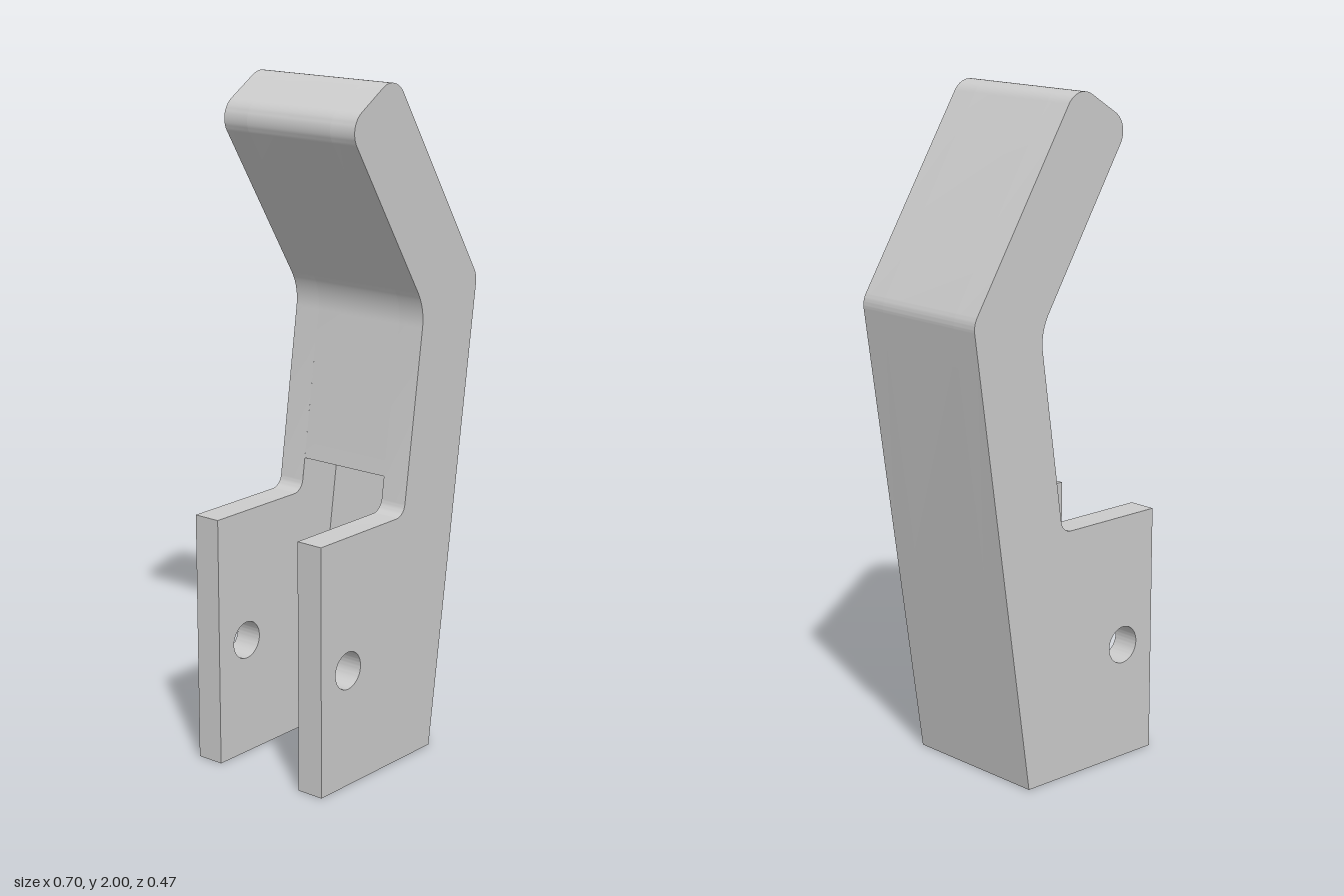
import * as THREE from 'three';
import { mergeGeometries, toCreasedNormals } from 'three/addons/utils/BufferGeometryUtils.js';

const HALF = 0.235;   // half of the full width
const INNER = 0.15;   // half of the slot between the cheeks
const HOLE = { x: -0.233, y: 0.352, r: 0.056 };

// Closed outline from [x, y, radius] corners, with true arcs at the rounded ones
function outline(corners) {
  const points = [];
  corners.forEach(([x, y, r], i) => {
    const p = new THREE.Vector2(x, y);
    if (!r) return points.push(p);
    const n = corners.length;
    const a = new THREE.Vector2(...corners[(i + n - 1) % n].slice(0, 2)).sub(p).normalize();
    const b = new THREE.Vector2(...corners[(i + 1) % n].slice(0, 2)).sub(p).normalize();
    const half = Math.acos(a.dot(b)) / 2;
    const t = r / Math.tan(half);
    const c = a.clone().add(b).normalize().multiplyScalar(r / Math.sin(half)).add(p);
    const start = a.multiplyScalar(t).add(p).sub(c).angle();
    const end = b.multiplyScalar(t).add(p).sub(c).angle();
    const sweep = Math.atan2(Math.sin(end - start), Math.cos(end - start));
    for (let k = 0; k <= 12; k++) {
      const ang = start + sweep * k / 12;
      points.push(new THREE.Vector2(c.x + r * Math.cos(ang), c.y + r * Math.sin(ang)));
    }
  });
  return new THREE.Shape(points);
}

function withHole(shape) {
  shape.holes.push(new THREE.Path().absarc(HOLE.x, HOLE.y, HOLE.r, 0, Math.PI * 2, true));
  return shape;
}

// Only the side walls of an extruded shape
function walls(shape, z0, z1) {
  const full = new THREE.ExtrudeGeometry(shape, { depth: z1 - z0, bevelEnabled: false, curveSegments: 32 });
  const { start, count } = full.groups[1];
  const geo = new THREE.BufferGeometry();
  geo.setAttribute('position', new THREE.BufferAttribute(
    full.attributes.position.array.slice(start * 3, (start + count) * 3), 3));
  geo.translate(0, 0, z0);
  geo.computeVertexNormals();
  return toCreasedNormals(geo, 0.5);
}

// Flat face at depth z, turned to +z or -z
function face(shape, z, facing) {
  const geo = new THREE.ShapeGeometry(shape, 32);
  if (facing < 0) geo.index.array.reverse();
  geo.translate(0, 0, z);
  geo.deleteAttribute('uv');
  geo.computeVertexNormals();
  return geo.toNonIndexed();
}

export function createModel() {
  const group = new THREE.Group();
  const material = new THREE.MeshStandardMaterial({ color: 0xcccccc });
  const add = (name, parts) => {
    const mesh = new THREE.Mesh(mergeGeometries(parts), material);
    mesh.name = name;
    group.add(mesh);
  };

  // Bent arm, shared by the full profile and the core
  const arm = [
    [0.148, 0], [0.3556, 1.403, 0.065],
    [-0.031, 2.024, 0.065], [-0.233, 1.898, 0.065],
    [0.107, 1.347, 0.16],
  ];
  const profile = withHole(outline([
    [-0.352, 0], ...arm, [0.0186, 0.75, 0.04], [-0.352, 0.75],
  ]));
  const core = outline([[0.062, 0], ...arm, [0.0335, 0.85], [0.188, 0.85]]);
  // Part of the cheek that faces the slot
  const slotSide = withHole(outline([
    [-0.352, 0], [0.062, 0], [0.188, 0.85], [0.0335, 0.85],
    [0.0186, 0.75, 0.04], [-0.352, 0.75],
  ]));

  // Lever core: arm and back wall of the slot
  add('leverCore', [walls(core, -INNER, INNER)]);

  // Side cheeks with pivot holes
  for (const s of [1, -1]) {
    add(s > 0 ? 'frontCheek' : 'backCheek', [
      walls(profile, s > 0 ? INNER : -HALF, s > 0 ? HALF : -INNER),
      face(profile, s * HALF, s),
      face(slotSide, s * INNER, -s),
    ]);
  }
  return group;
}
